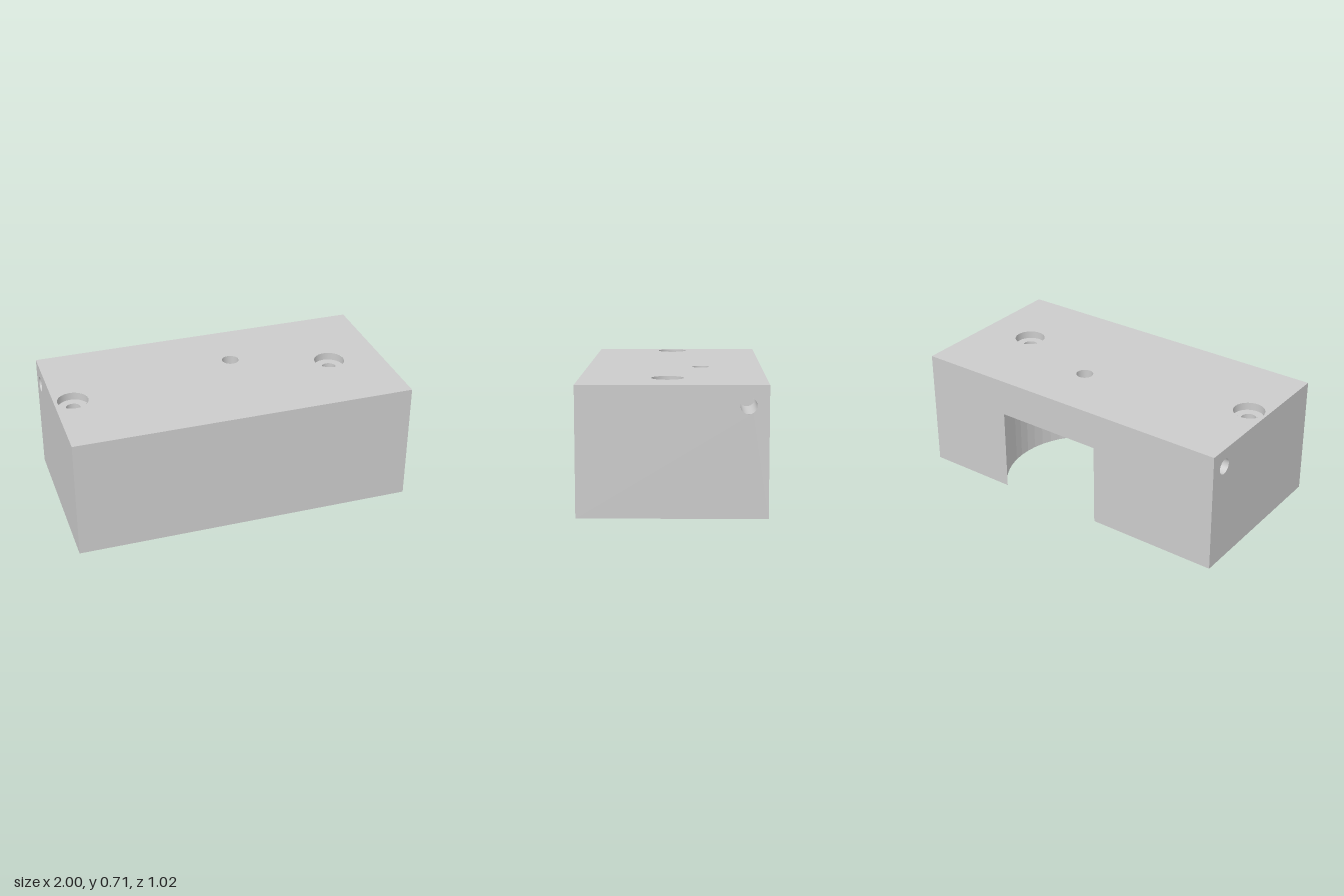
import * as THREE from 'three';

const H = 0.713, D = 0.512;                  // block height, half depth
const CX = 0.115, CZ = -0.155, R = 0.485;    // round pocket centre and radius
const CEIL = 0.495;                          // pocket ceiling height
const SEG = 38, HOLE_SEG = 32;
const HALF = Math.acos((-D - CZ) / R);       // half angle of the pocket wall
const MOUTH = R * Math.sin(HALF);            // half width of the opening
const BOLTS = [[-0.89, 0.03], [0.68, 0.03]];
const BOLT_R = 0.042, BORE_R = 0.09, BORE_DEPTH = 0.045, PIN_R = 0.05;
const SIDE_Y = 0.605, SIDE_Z = -0.402, SIDE_R = 0.045, SIDE_DEPTH = 0.3;

export function createModel() {
  const group = new THREE.Group();
  const solid = new THREE.MeshStandardMaterial({ color: 0xcccccc });
  const inner = new THREE.MeshStandardMaterial({ color: 0xcccccc, side: THREE.DoubleSide });
  const faceted = new THREE.MeshStandardMaterial({ color: 0xcccccc, side: THREE.DoubleSide, flatShading: true });

  function add(name, geo, mat, x = 0, y = 0, z = 0) {
    const mesh = new THREE.Mesh(geo, mat);
    mesh.name = name;
    mesh.position.set(x, y, z);
    group.add(mesh);
    return mesh;
  }
  const polygon = (pts) => new THREE.Shape(pts.map(([x, y]) => new THREE.Vector2(x, y)));
  const rect = (w, y0, y1) => polygon([[-w, y0], [w, y0], [w, y1], [-w, y1]]);
  function drill(shape, x, y, r) {
    shape.holes.push(new THREE.Path().absarc(x, y, r, 0, Math.PI * 2, true));
  }
  const face = (shape) => new THREE.ShapeGeometry(shape, HOLE_SEG);
  function verticalBore(name, x, z, r, y0, y1) {
    add(name, new THREE.CylinderGeometry(r, r, y1 - y0, HOLE_SEG, 1, true), inner, x, (y0 + y1) / 2, z);
  }

  // Pocket outline in x, z, from one corner of the mouth to the other
  const arc = [];
  for (let i = 0; i <= SEG; i++) {
    const t = -HALF + (2 * HALF * i) / SEG;
    arc.push([CX + R * Math.sin(t), CZ + R * Math.cos(t)]);
  }

  // Top face with two counterbores and the centre hole
  const top = rect(1, -D, D);
  for (const [x, z] of BOLTS) drill(top, x, -z, BORE_R);
  drill(top, CX, -CZ, PIN_R);
  add('topFace', face(top).rotateX(-Math.PI / 2), solid, 0, H, 0);

  // Underside, cut by the pocket
  const bottom = polygon([[-1, -D], ...arc, [1, -D], [1, D], [-1, D]]);
  for (const [x, z] of BOLTS) drill(bottom, x, z, BOLT_R);
  add('underside', face(bottom).rotateX(Math.PI / 2), solid);

  // Front face, and back face with the pocket mouth
  add('frontFace', face(rect(1, 0, H)), solid, 0, 0, D);
  const back = polygon([
    [-1, 0], [-CX - MOUTH, 0], [-CX - MOUTH, CEIL], [-CX + MOUTH, CEIL],
    [-CX + MOUTH, 0], [1, 0], [1, H], [-1, H],
  ]);
  add('backFace', face(back).rotateY(Math.PI), solid, 0, 0, -D);

  // Pocket ceiling and curved wall
  const ceiling = polygon(arc);
  drill(ceiling, CX, CZ, PIN_R);
  add('pocketCeiling', face(ceiling).rotateX(Math.PI / 2), solid, 0, CEIL, 0);
  add('pocketWall', new THREE.CylinderGeometry(R, R, CEIL, SEG, 1, true, -HALF, 2 * HALF), faceted, CX, CEIL / 2, CZ);

  // Vertical holes
  verticalBore('centreHole', CX, CZ, PIN_R, CEIL, H);
  for (const [x, z] of BOLTS) {
    verticalBore('counterbore', x, z, BORE_R, H - BORE_DEPTH, H);
    verticalBore('boltHole', x, z, BOLT_R, 0, H - BORE_DEPTH);
    add('counterboreFloor', new THREE.RingGeometry(BOLT_R, BORE_R, HOLE_SEG).rotateX(-Math.PI / 2),
      solid, x, H - BORE_DEPTH, z);
  }

  // End faces, each with a blind hole
  for (const s of [1, -1]) {
    const end = rect(D, 0, H);
    drill(end, -s * SIDE_Z, SIDE_Y, SIDE_R);
    add('endFace', face(end).rotateY(s * Math.PI / 2), solid, s, 0, 0);
    add('sideHole', new THREE.CylinderGeometry(SIDE_R, SIDE_R, SIDE_DEPTH, HOLE_SEG, 1, true).rotateZ(Math.PI / 2),
      inner, s * (1 - SIDE_DEPTH / 2), SIDE_Y, SIDE_Z);
    add('sideHoleFloor', new THREE.CircleGeometry(SIDE_R, HOLE_SEG).rotateY(s * Math.PI / 2),
      solid, s * (1 - SIDE_DEPTH), SIDE_Y, SIDE_Z);
  }
  return group;
}
